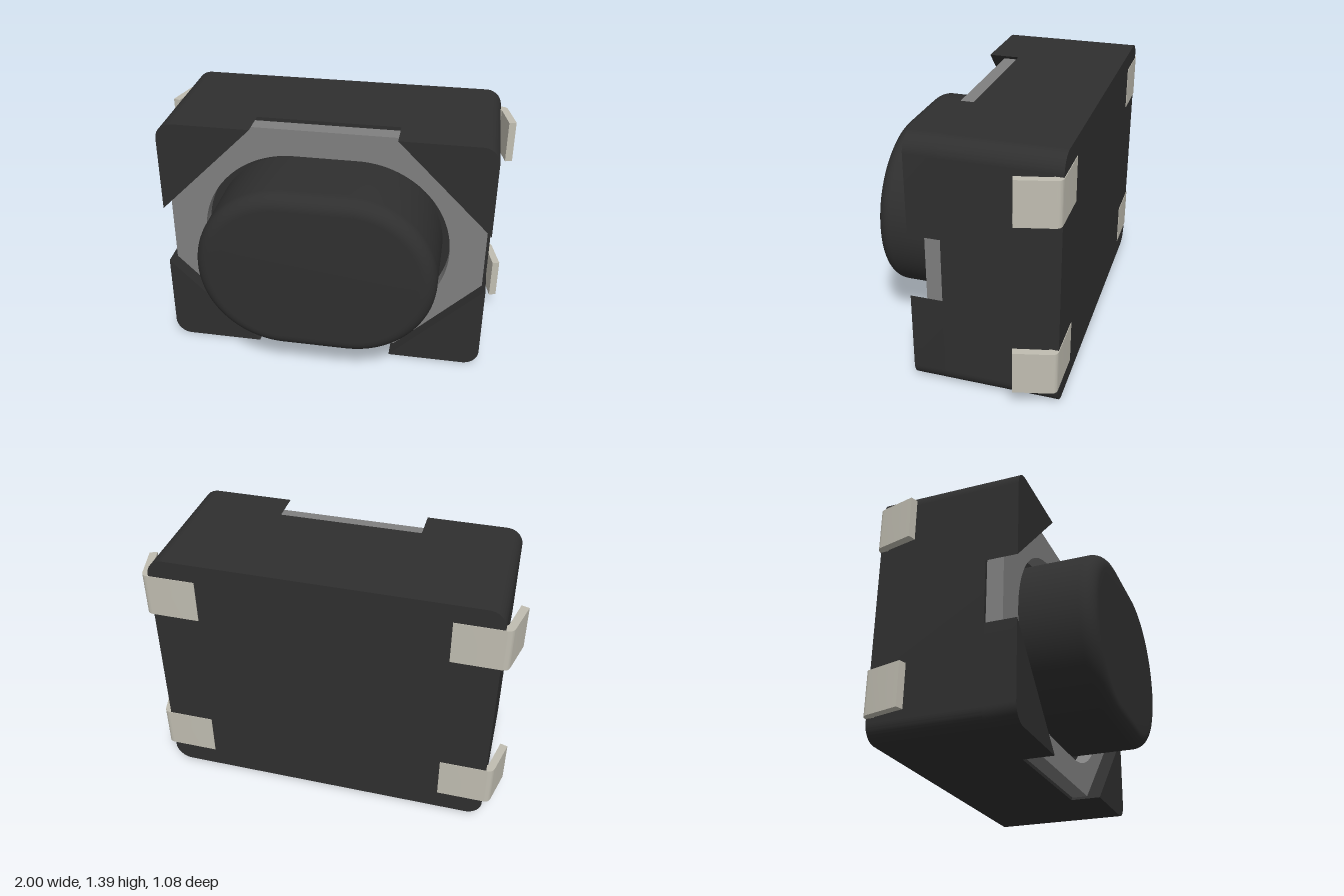
import * as THREE from 'three';
import { toCreasedNormals } from 'three/addons/utils/BufferGeometryUtils.js';

const W = 0.91, H = 0.695;            // half width and half height of the housing
const BACK = -0.54, FLOOR = 0.065, RIM = 0.237;

const mat = (name, color) => {
  const m = new THREE.MeshStandardMaterial({ color });
  m.name = name;
  return m;
};

// Closed shape from [x, y] corners
const polygon = (pts) => new THREE.Shape(pts.map(([x, y]) => new THREE.Vector2(x, y)));

// Rounded rectangle centred on the origin
function roundedRect(w, h, r, Type = THREE.Shape) {
  const s = new Type();
  s.moveTo(w, -h + r);
  s.lineTo(w, h - r);
  s.absarc(w - r, h - r, r, 0, Math.PI / 2);
  s.lineTo(-w + r, h);
  s.absarc(-w + r, h - r, r, Math.PI / 2, Math.PI);
  s.lineTo(-w, -h + r);
  s.absarc(-w + r, -h + r, r, Math.PI, Math.PI * 1.5);
  s.lineTo(w - r, -h);
  s.absarc(w - r, -h + r, r, Math.PI * 1.5, Math.PI * 2);
  return s;
}

// Extrude a shape along z between two depths
function slab(shape, z0, z1, options = {}) {
  const g = new THREE.ExtrudeGeometry(shape, { depth: z1 - z0, bevelEnabled: false, curveSegments: 16, ...options });
  g.translate(0, 0, z0);
  return toCreasedNormals(g, 0.6);
}

export function createModel() {
  const model = new THREE.Group();
  model.name = 'pushButtonSwitch';
  const black = mat('black plastic', 0x2f2f2f);
  const grey = mat('grey plate', 0x7f7f7f);
  const metal = mat('lead metal', 0xc0bdb1);

  const add = (name, geometry, material) => {
    const mesh = new THREE.Mesh(geometry, material);
    mesh.name = name;
    mesh.position.y = H;
    model.add(mesh);
  };

  // Housing block
  add('housing', slab(roundedRect(W, H, 0.09), BACK, FLOOR), black);

  // Four raised triangular corners with a rounded outer edge
  const r = 0.09;
  for (const sx of [1, -1]) for (const sy of [1, -1]) {
    const pts = [[W, 0.175]];
    for (let i = 0; i <= 10; i++) {
      const a = (i / 10) * Math.PI / 2;
      pts.push([W - r + r * Math.cos(a), H - r + r * Math.sin(a)]);
    }
    pts.push([0.39, H]);
    const corner = polygon(pts.map(([x, y]) => [x * sx, y * sy]));
    add('raisedCorner', slab(corner, FLOOR, RIM), black);
  }

  // Octagonal cover plate with an oblong opening
  const px = 0.89, py = 0.675, cx = 0.41, cy = 0.195;
  const plate = polygon([[px, -cy], [px, cy], [cx, py], [-cx, py], [-px, cy], [-px, -cy], [-cx, -py], [cx, -py]]);
  plate.holes.push(roundedRect(0.695, 0.522, 0.52, THREE.Path));
  add('coverPlate', slab(plate, FLOOR, 0.155), grey);

  // Oblong button with a softened front rim
  const f = 0.08;
  add('button', slab(roundedRect(0.65, 0.478, 0.475), -0.1, 0.54 - f, {
    bevelEnabled: true, bevelThickness: f, bevelSize: f, bevelOffset: -f, bevelSegments: 8, curveSegments: 24,
  }), black);

  // Bent leads: flat under the back face, then flaring out along the sides
  for (const side of [1, -1]) for (const y of [0.475, -0.465]) {
    const s = new THREE.Shape();                 // drawn in x and -z
    s.moveTo(0.66, 0.5);
    s.lineTo(0.905, 0.5);
    s.lineTo(0.918, 0.49);
    s.lineTo(0.96, 0.315);
    s.lineTo(1.0, 0.328);
    s.lineTo(0.953, 0.515);
    s.quadraticCurveTo(0.945, 0.543, 0.915, 0.543);
    s.lineTo(0.66, 0.543);
    const g = slab(s, -0.119, 0.119);
    g.rotateX(-Math.PI / 2);
    if (side < 0) g.rotateZ(Math.PI);            // half turn gives the mirrored lead
    g.translate(0, y, 0);
    add('lead', g, metal);
  }

  return model;
}
